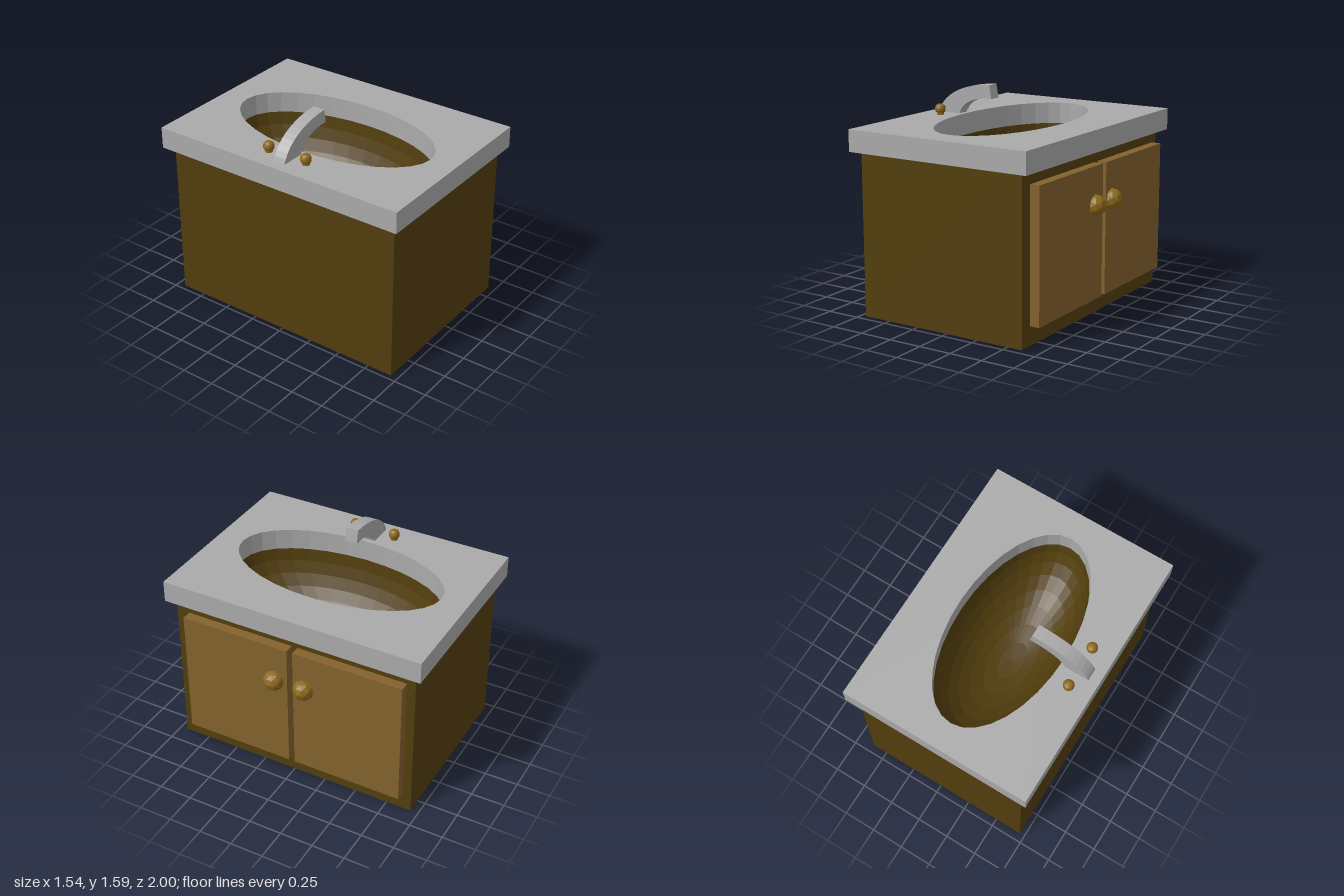
import * as THREE from 'three';

const mat = (name, color) => {
  const m = new THREE.MeshStandardMaterial({ color, flatShading: true });
  m.name = name;
  return m;
};

export function createModel() {
  const group = new THREE.Group();
  const darkWood = mat('dark wood', 0x523e0d);
  const doorWood = mat('door wood', 0x83622d);
  const stone = mat('grey stone', 0xaaaaaa);
  const brass = mat('brass', 0x8c681a);

  const add = (name, geometry, material, x = 0, y = 0, z = 0) => {
    const mesh = new THREE.Mesh(geometry, material);
    mesh.name = name;
    mesh.position.set(x, y, z);
    group.add(mesh);
    return mesh;
  };

  // Basin opening: centre and half-axes
  const basin = { x: -0.06, rx: 0.418, rz: 0.8, depth: 0.5 };
  const counterBottom = 1.2, counterTop = 1.36;

  // Cabinet: box without its top face, so the bowl stays open
  const box = new THREE.BoxGeometry(1.325, counterBottom, 1.885);
  const index = Array.from(box.index.array);
  index.splice(12, 6);
  box.setIndex(index);
  box.clearGroups();
  add('cabinet', box, darkWood, -0.0475, counterBottom / 2, 0.0025);

  // Countertop slab with an elliptical hole
  const slab = new THREE.Shape();
  slab.moveTo(-0.775, -1);
  slab.lineTo(0.68, -1);
  slab.lineTo(0.68, 1);
  slab.lineTo(-0.775, 1);
  slab.closePath();
  const hole = new THREE.Path();
  hole.absellipse(basin.x, 0, basin.rx, basin.rz, 0, Math.PI * 2, true);
  slab.holes.push(hole);
  const slabGeometry = new THREE.ExtrudeGeometry(slab, {
    depth: counterTop - counterBottom, bevelEnabled: false, curveSegments: 16,
  });
  slabGeometry.rotateX(-Math.PI / 2);
  add('countertop', slabGeometry, stone, 0, counterBottom, 0);

  // Bowl: half ellipsoid, profile runs rim to bottom so faces point inward
  const bowlProfile = [];
  for (let i = 0; i <= 8; i++) {
    const a = (i / 8) * Math.PI / 2;
    bowlProfile.push(new THREE.Vector2(i === 8 ? 0 : Math.cos(a), -Math.sin(a)));
  }
  const bowl = new THREE.LatheGeometry(bowlProfile, 32);
  bowl.scale(basin.rx, basin.depth, basin.rz);
  add('bowl', bowl, darkWood, basin.x, counterBottom, 0);

  // Doors on the +x side, each with a faceted knob
  const doors = [
    { side: 'left', z0: -0.875, z1: -0.04, knobZ: -0.125 },
    { side: 'right', z0: 0.005, z1: 0.845, knobZ: 0.11 },
  ];
  for (const { side, z0, z1, knobZ } of doors) {
    add(`${side}Door`, new THREE.BoxGeometry(0.073, 0.97, z1 - z0), doorWood,
      0.6515, 0.625, (z0 + z1) / 2);
    add(`${side}DoorKnob`, new THREE.IcosahedronGeometry(0.078, 1), brass, 0.692, 0.83, knobZ);
  }

  // Spout: curved bar with a rectangular section
  const spout = new THREE.Shape();
  spout.moveTo(-0.7, 1.355);
  spout.bezierCurveTo(-0.66, 1.49, -0.49, 1.585, -0.245, 1.59);
  spout.lineTo(-0.228, 1.49);
  spout.bezierCurveTo(-0.39, 1.495, -0.49, 1.44, -0.515, 1.355);
  spout.closePath();
  const spoutGeometry = new THREE.ExtrudeGeometry(spout, {
    depth: 0.094, bevelEnabled: false, curveSegments: 10,
  });
  add('spout', spoutGeometry, stone, 0, 0, -0.051);

  // Taps: short stem with a rounded cap
  const tapProfile = [
    [0.027, 0], [0.027, 0.018], [0.034, 0.02], [0.04, 0.032],
    [0.04, 0.05], [0.034, 0.066], [0.02, 0.077], [0, 0.08],
  ].map(([r, y]) => new THREE.Vector2(r, y));
  for (const [side, z] of [['left', -0.163], ['right', 0.154]]) {
    add(`${side}Tap`, new THREE.LatheGeometry(tapProfile, 16), brass, -0.606, counterTop, z);
  }

  return group;
}
